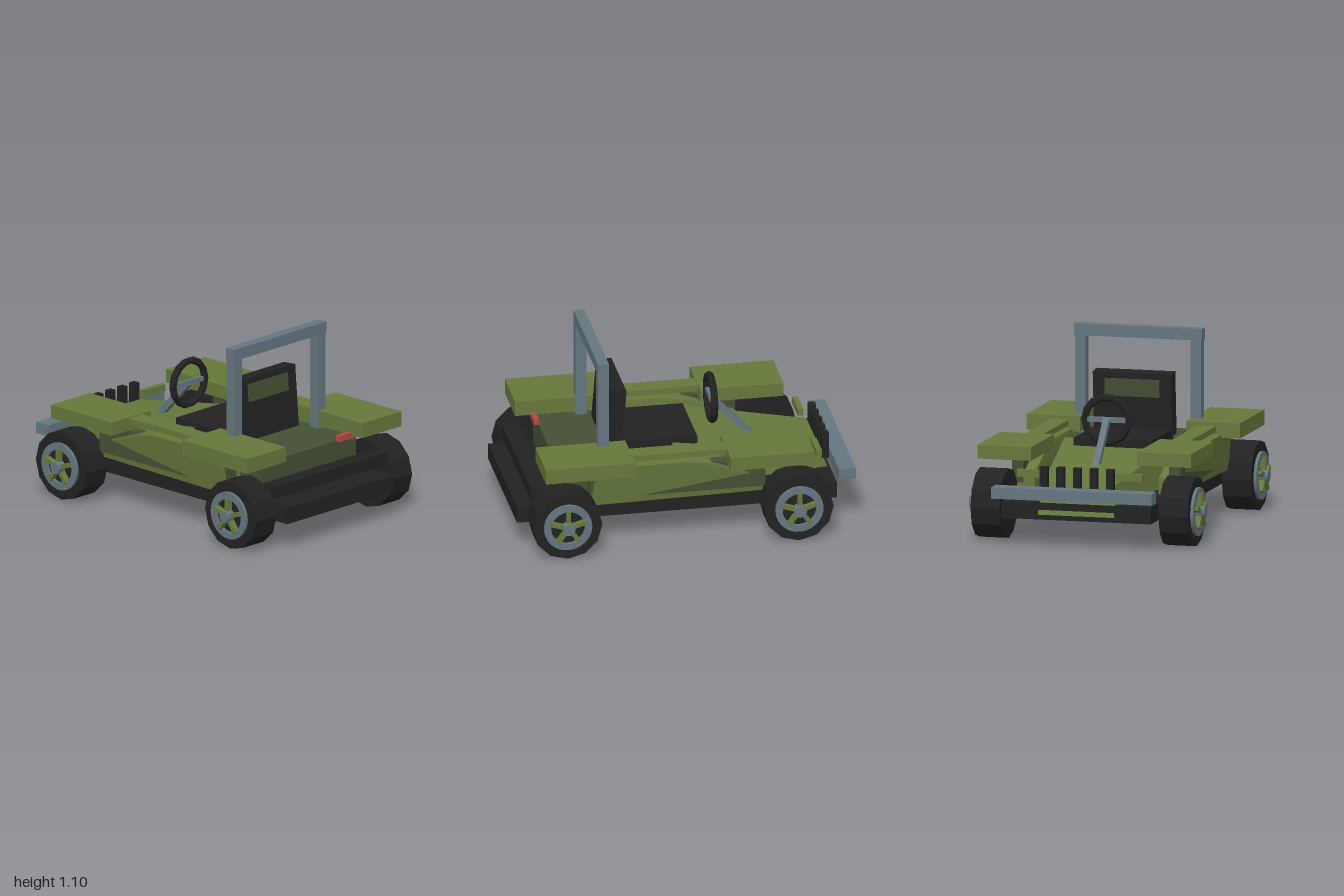
import * as THREE from 'three';
import { ConvexGeometry } from 'three/addons/geometries/ConvexGeometry.js';

const paint = (name, color) => {
  const m = new THREE.MeshStandardMaterial({ color });
  m.name = name;
  m.flatShading = true;
  return m;
};

export function createModel() {
  const olive = paint('olive', 0x66783c);
  const darkOlive = paint('dark olive', 0x445034);
  const black = paint('black', 0x222222);
  const steel = paint('steel', 0x657680);
  const red = paint('red', 0xb84a42);
  const car = new THREE.Group();
  car.name = 'buggy';

  const add = (name, geometry, material, parent = car) => {
    const mesh = new THREE.Mesh(geometry, material);
    mesh.name = name;
    parent.add(mesh);
    return mesh;
  };
  // Box given by its ranges along x, y and z
  const box = (name, mat, x0, x1, y0, y1, z0, z1, parent = car) => {
    const m = add(name, new THREE.BoxGeometry(Math.abs(x1 - x0), y1 - y0, z1 - z0), mat, parent);
    m.position.set((x0 + x1) / 2, (y0 + y1) / 2, (z0 + z1) / 2);
    return m;
  };
  const hull = (name, mat, points) =>
    add(name, new ConvexGeometry(points.map(p => new THREE.Vector3(...p))), mat);

  // Chassis, rear deck and bumpers
  box('chassis', black, -0.45, 0.45, 0.16, 0.258, -0.895, 1);
  box('rearDeck', darkOlive, -0.39, 0.39, 0.28, 0.46, 0.14, 0.745);
  box('rearBumper', black, -0.48, 0.48, 0.3, 0.375, 0.82, 0.92);
  box('frontBumper', steel, -0.485, 0.485, 0.288, 0.355, -1, -0.9);

  // Tapered hood with a slanted nose
  const hood = [];
  for (const s of [-1, 1]) {
    hood.push([s * 0.33, 0.495, 0.04], [s * 0.36, 0.26, 0.04],
      [s * 0.215, 0.37, -0.84], [s * 0.23, 0.19, -0.905]);
  }
  hull('hood', olive, hood);
  for (let i = -2; i <= 2; i++) {
    box('grilleSlat', black, i * 0.1 - 0.022, i * 0.1 + 0.022, 0.31, 0.47, -0.89, -0.847);
  }

  // Mirrored body parts
  for (const s of [-1, 1]) {
    const pod = [[0.26, 0.575, 0.51], [0.5, 0.54, 0.538], [0.5, 0, 0.53],
      [0.47, -0.17, 0.52], [0.36, -0.455, 0.505], [0.265, -0.455, 0.49]];
    hull('sidePod', olive, pod.flatMap(([y, z, x]) =>
      [[s * x, y, z], [s * (z > 0.3 ? 0.36 : 0.375), y, z]]));
    box('sill', darkOlive, s * 0.44, s * 0.51, 0.3, 0.475, -0.46, 0.58);
    box('armRail', olive, s * 0.39, s * 0.5, 0.515, 0.55, -0.235, 0.335);
    box('rearFender', olive, s * 0.32, s * 0.645, 0.482, 0.572, 0.335, 0.865);
    box('frontFender', olive, s * 0.32, s * 0.645, 0.475, 0.555, -0.725, -0.23);
    box('headlightBar', olive, s * 0.2, s * 0.38, 0.395, 0.437, -0.82, -0.787);
    box('tailLight', red, s * 0.225, s * 0.375, 0.458, 0.495, 0.742, 0.772);
    box('rollBarPost', steel, s * 0.318, s * 0.382, 0.45, 1.04, 0.443, 0.507);
  }
  box('rollBarTop', steel, -0.387, 0.387, 1.032, 1.1, 0.443, 0.507);

  // Seat with a forward-leaning back
  box('seatCushion', black, -0.235, 0.235, 0.45, 0.52, -0.11, 0.36);
  const back = new THREE.Group();
  back.name = 'seatBack';
  back.position.set(0, 0.48, 0.385);
  back.rotation.x = -0.08;
  car.add(back);
  box('backrest', black, -0.237, 0.237, 0, 0.37, -0.045, 0.045, back);
  for (const s of [-1, 1]) {
    box('backrestPad', darkOlive, -0.165, 0.165, 0.23, 0.335, s * 0.049 - 0.004, s * 0.049 + 0.004, back);
  }

  // Steering wheel and column
  const wheelAt = new THREE.Vector3(0, 0.655, -0.232);
  const columnEnd = new THREE.Vector3(0, 0.4, -0.475);
  add('steeringWheel', new THREE.TorusGeometry(0.133, 0.022, 6, 14), black).position.copy(wheelAt);
  box('steeringSpoke', steel, -0.12, 0.12, 0.64, 0.67, -0.243, -0.222);
  const column = add('steeringColumn',
    new THREE.BoxGeometry(0.038, 0.038, wheelAt.distanceTo(columnEnd)), steel);
  column.position.copy(wheelAt).add(columnEnd).multiplyScalar(0.5);
  column.lookAt(wheelAt);

  // Wheels, built facing +x and turned round for the other side
  const disc = (name, mat, r, x0, x1, sides, parent) => {
    const m = add(name, new THREE.CylinderGeometry(r, r, x1 - x0, sides), mat, parent);
    m.rotation.z = -Math.PI / 2;
    m.position.x = (x0 + x1) / 2;
  };
  const ringShape = new THREE.Shape().absarc(0, 0, 0.142, 0, Math.PI * 2, false);
  ringShape.holes.push(new THREE.Path().absarc(0, 0, 0.1, 0, Math.PI * 2, true));
  const ring = new THREE.ExtrudeGeometry(ringShape, { depth: 0.03, bevelEnabled: false, curveSegments: 20 });
  ring.rotateY(Math.PI / 2);

  for (const z of [0.738, -0.632]) {
    for (const s of [-1, 1]) {
      const wheel = new THREE.Group();
      wheel.name = z > 0 ? 'rearWheel' : 'frontWheel';
      wheel.position.set(0, 0.205, z);
      wheel.rotation.y = s > 0 ? 0 : Math.PI;
      car.add(wheel);
      disc('tire', black, 0.205, 0.48, 0.655, 12, wheel);
      add('rim', ring, steel, wheel).position.x = 0.643;
      for (let i = 0; i < 5; i++) {
        const spoke = new THREE.Group();
        spoke.name = 'spoke';
        spoke.rotation.x = i * Math.PI * 0.4;
        wheel.add(spoke);
        box('spokeBar', olive, 0.655, 0.692, 0.02, 0.11, -0.012, 0.012, spoke);
      }
      disc('hub', steel, 0.036, 0.655, 0.71, 12, wheel);
      disc('axle', steel, 0.028, 0.3, 0.49, 10, wheel);
    }
  }
  return car;
}
